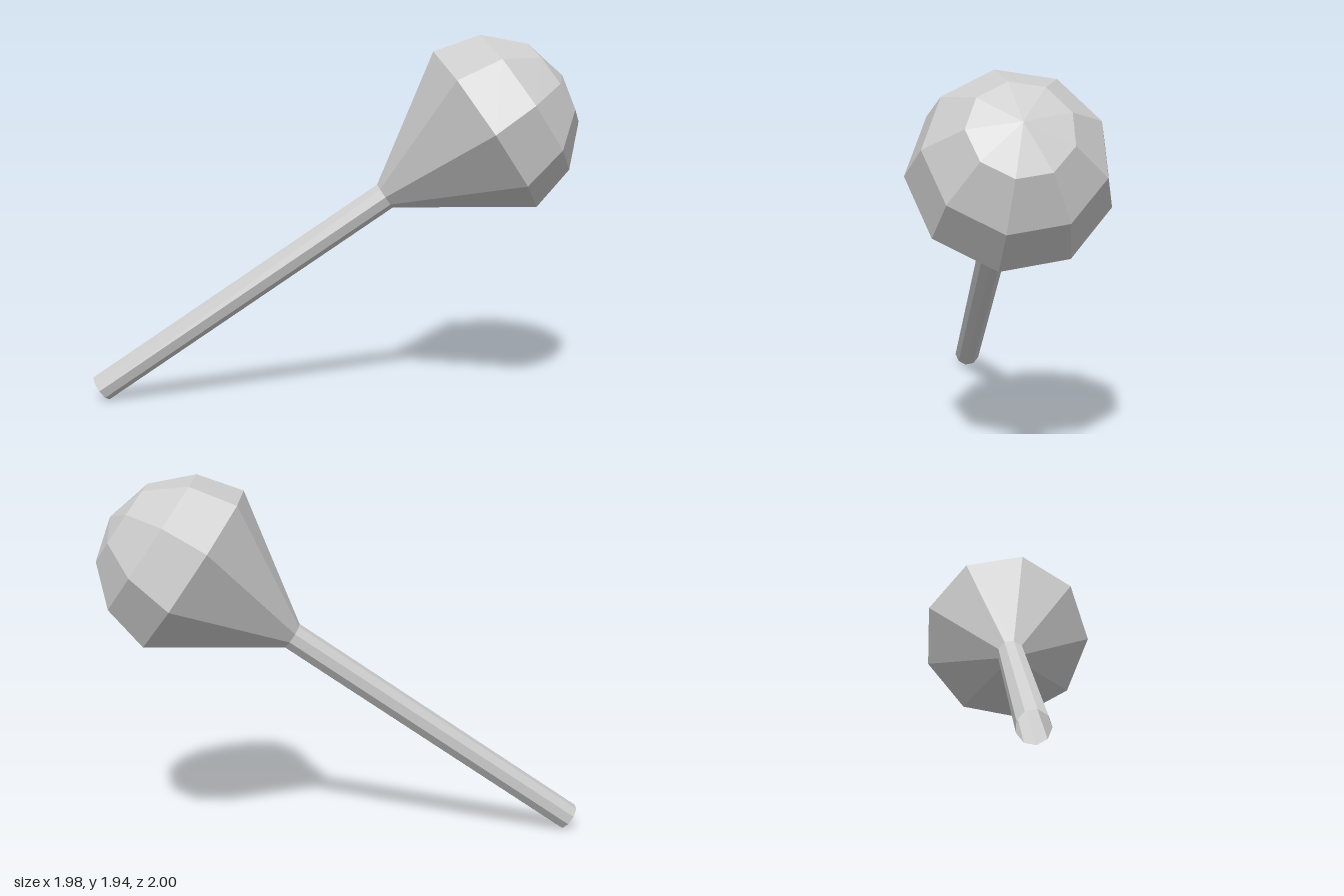
import * as THREE from 'three';

const SIDES = 9;
const HEAD_RADIUS = 0.494;
const ROD_RADIUS = 0.075;
const NECK = -0.625; // heights along the axis, measured from the widest ring
const ROD_END = -2.468;

export function createModel() {
  const material = new THREE.MeshStandardMaterial({
    color: 0xcccccc, flatShading: true, side: THREE.DoubleSide,
  });
  const model = new THREE.Group();
  model.name = 'mallet';

  // Faceted body of revolution from [radius, height] pairs, bottom to top
  const addPart = (name, profile) => {
    const points = profile.map(([r, h]) => new THREE.Vector2(r, h));
    const mesh = new THREE.Mesh(new THREE.LatheGeometry(points, SIDES), material);
    mesh.name = name;
    body.add(mesh);
  };

  // Tilted frame: y along the handle, z towards one corner of the rings
  const axis = new THREE.Vector3(0.5786, 0.5645, 0.5888).normalize();
  const corner = new THREE.Vector3(-0.393, 0.267, 0.137);
  corner.addScaledVector(axis, -corner.dot(axis)).normalize();
  const across = new THREE.Vector3().crossVectors(axis, corner);
  const body = new THREE.Group();
  body.name = 'tiltedBody';
  body.quaternion.setFromRotationMatrix(new THREE.Matrix4().makeBasis(across, axis, corner));
  body.position.set(0.503, 1.453, 0.51);
  model.add(body);

  // Open-ended handle
  addPart('handle', [[ROD_RADIUS, ROD_END], [ROD_RADIUS, NECK]]);

  // Cone flaring from the handle to the head
  addPart('headCone', [[ROD_RADIUS, NECK], [HEAD_RADIUS, 0]]);

  // Half-sphere in 30 degree steps
  const dome = [];
  for (let i = 0; i <= 3; i++) {
    const a = (i * Math.PI) / 6;
    dome.push([i === 3 ? 0 : HEAD_RADIUS * Math.cos(a), HEAD_RADIUS * Math.sin(a)]);
  }
  addPart('headDome', dome);

  return model;
}
